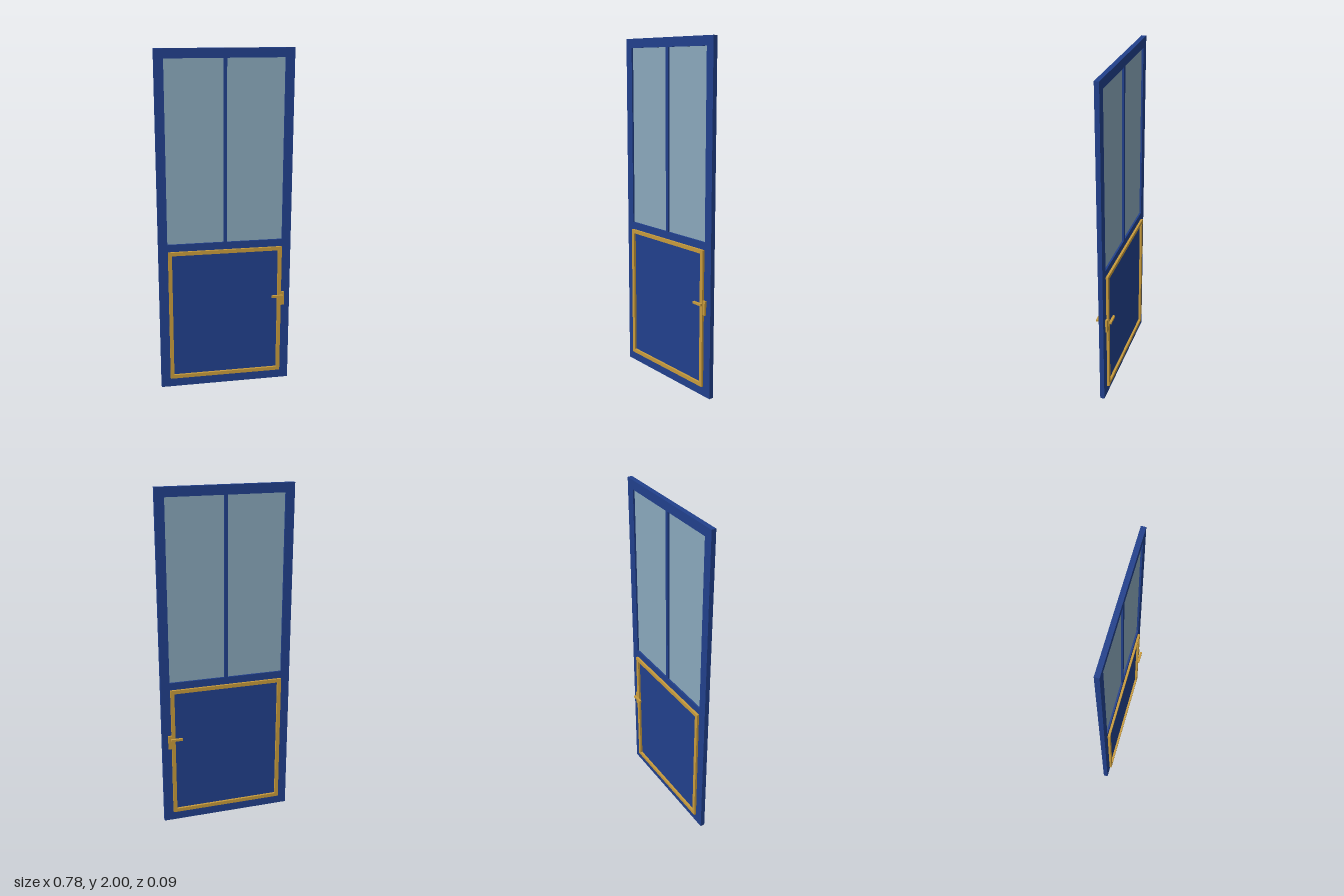
import * as THREE from 'three';

const blue = new THREE.MeshStandardMaterial({ color: 0x21408c });
blue.name = 'blue paint';
const brass = new THREE.MeshStandardMaterial({ color: 0xc89b3c });
brass.name = 'brass';
const glass = new THREE.MeshStandardMaterial({ color: 0x8aa8bc });
glass.name = 'pale glass';

// Outline of a rectangle given by its edges
function rect(Type, x0, y0, x1, y1) {
  return new Type([
    new THREE.Vector2(x0, y0), new THREE.Vector2(x1, y0),
    new THREE.Vector2(x1, y1), new THREE.Vector2(x0, y1),
  ]);
}

// Plate with holes, extruded between two depths
function plate(name, material, shape, z0, z1) {
  const geometry = new THREE.ExtrudeGeometry(shape, { depth: z1 - z0, bevelEnabled: false });
  geometry.translate(0, 0, z0);
  const mesh = new THREE.Mesh(geometry, material);
  mesh.name = name;
  return mesh;
}

export function createModel() {
  const door = new THREE.Group();
  door.name = 'door';
  const half = 0.0133;

  // Door leaf: solid lower panel, two tall window openings split by a mullion
  const leaf = rect(THREE.Shape, -0.3915, 0, 0.3915, 2);
  for (const [x0, x1] of [[-0.339, -0.01], [0.01, 0.339]]) {
    leaf.holes.push(rect(THREE.Path, x0, 0.9, x1, 1.947));
    door.add(plate('windowPane', glass, rect(THREE.Shape, x0, 0.9, x1, 1.947), -0.003, 0.003));
  }
  door.add(plate('doorLeaf', blue, leaf, -half, half));

  // Brass trim, lock plate and lever, repeated on both faces
  for (const side of [1, -1]) {
    const add = (name, shape, near, far) => {
      const [z0, z1] = side > 0 ? [near, far] : [-far, -near];
      door.add(plate(name, brass, shape, z0, z1));
    };
    const trim = rect(THREE.Shape, -0.337, 0.057, 0.337, 0.857);
    trim.holes.push(rect(THREE.Path, -0.315, 0.079, 0.315, 0.835));
    add('panelTrim', trim, half, 0.0265);
    add('lockPlate', rect(THREE.Shape, 0.317, 0.487, 0.357, 0.57), half, 0.0245);
    add('leverHandle', rect(THREE.Shape, 0.276, 0.543, 0.345, 0.556), 0.0325, 0.046);
  }
  return door;
}
